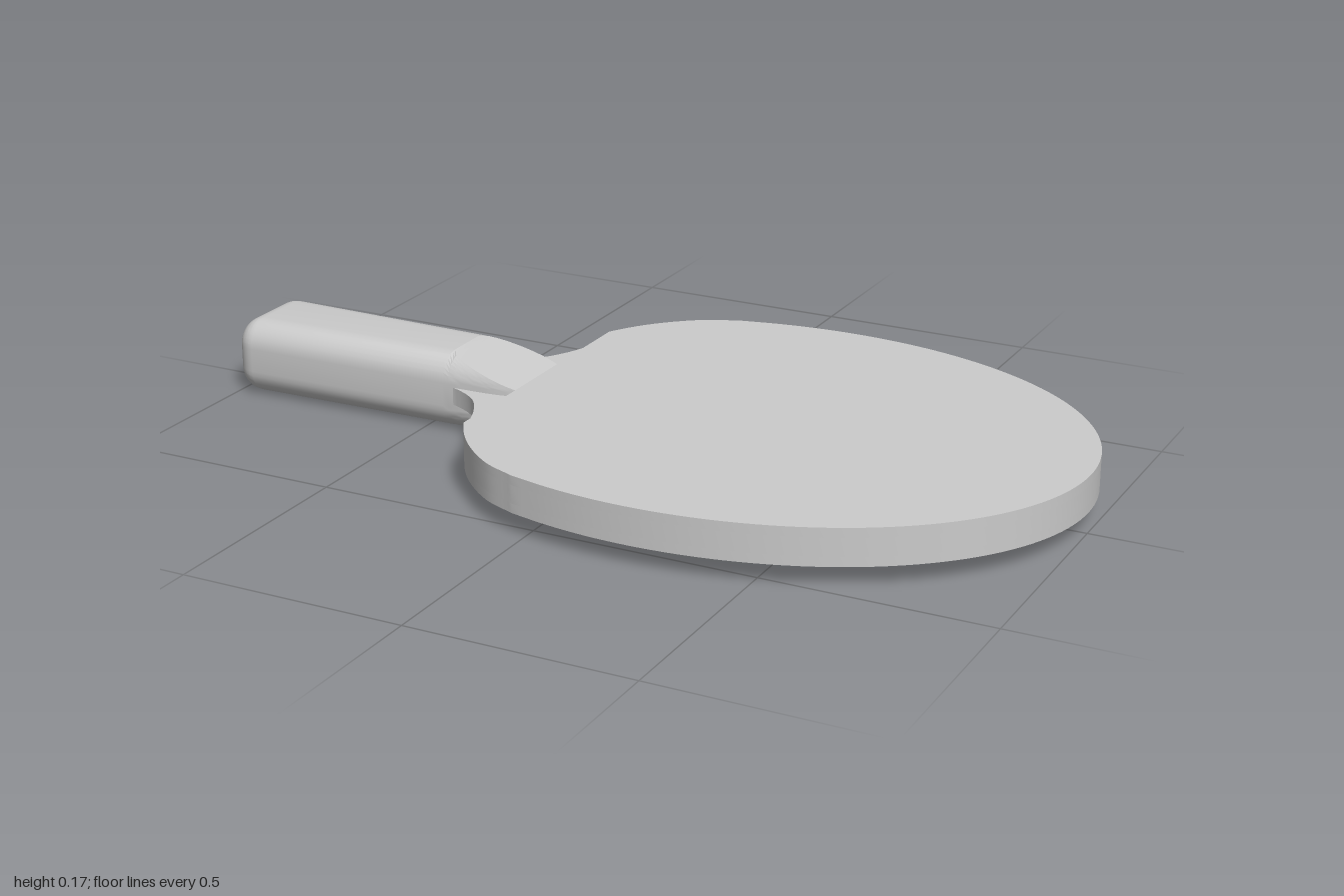
import * as THREE from 'three';
import { toCreasedNormals } from 'three/addons/utils/BufferGeometryUtils.js';

const MID = 0.0865;        // height of the bat's middle plane, and half the handle height
const STEP_X = -0.265;     // where the rubber starts
const CORE = 0.02;         // half thickness of the wooden core
const FACE = 0.041;        // half thickness including rubber
const material = new THREE.MeshStandardMaterial({ color: 0xcccccc });

// Half outline (x, half width) from the neck, round the shoulder, to the tip
function halfOutline() {
  const shoulder = new THREE.CatmullRomCurve3([
    [-0.46, 0.1], [-0.41, 0.113], [-0.35, 0.15], [-0.31, 0.21], [STEP_X, 0.325],
    [-0.2, 0.42], [-0.11, 0.498], [-0.03, 0.534],
  ].map(([x, z]) => new THREE.Vector3(x, z, 0)));
  const pts = shoulder.getPoints(56).map(p => new THREE.Vector2(p.x, p.y));
  const start = Math.acos(-0.27 / 0.76);
  for (let i = 1; i <= 48; i++) {
    const a = start * (1 - i / 48);
    pts.push(new THREE.Vector2(0.24 + 0.76 * Math.cos(a), 0.57 * Math.sin(a)));
  }
  return pts;
}

// Flat plate from a mirrored half outline, between two heights
function plate(name, half, y0, y1) {
  const mirrored = half.slice(0, -1).reverse().map(p => new THREE.Vector2(p.x, -p.y));
  const shape = new THREE.Shape([...half, ...mirrored]);
  const geo = new THREE.ExtrudeGeometry(shape, { depth: y1 - y0, bevelEnabled: false });
  geo.rotateX(-Math.PI / 2).translate(0, y0, 0);
  const mesh = new THREE.Mesh(toCreasedNormals(geo, 0.5), material);
  mesh.name = name;
  return mesh;
}

// Rounded rectangle section, cut flat at +-cut; returns [z, y] pairs
function section(w, h, r, cut) {
  const n = 8, top = Math.asin(Math.min(1, (cut - (h - r)) / r));
  const arc = [];
  for (let i = 0; i <= n; i++) {
    const a = top * i / n;
    arc.push([w - r + r * Math.cos(a), h - r + r * Math.sin(a)]);
  }
  const back = arc.slice().reverse();
  return [...arc, ...back.map(([z, y]) => [-z, y]),
    ...arc.map(([z, y]) => [-z, -y]), ...back.map(([z, y]) => [z, -y])];
}

function handle() {
  const R = 0.05, CORNER = 0.06, TAPER_X = -0.45;
  const rings = [];
  // Rounded butt
  for (let i = 0; i <= 8; i++) {
    const t = Math.PI / 2 * (1 - i / 8), d = R * (1 - Math.cos(t));
    rings.push([-1 + R * (1 - Math.sin(t)), section(0.12 - d, MID - d, CORNER - d, MID - d)]);
  }
  // Grip, then the wedge cut that slopes down to the blade
  rings.push([TAPER_X, section(0.109, MID, CORNER, MID)]);
  for (let i = 1; i <= 12; i++) {
    const t = i / 12, x = TAPER_X + (STEP_X - TAPER_X) * t;
    const w = 0.109 - 0.004 * t - 0.014 * t ** 5;
    rings.push([x, section(w, MID, CORNER, MID + (0.032 - MID) * t)]);
  }

  const pos = [], index = [], n = rings[0][1].length;
  for (const [x, ring] of rings) for (const [z, y] of ring) pos.push(x, MID + y, z);
  for (let i = 0; i < rings.length - 1; i++) {
    for (let j = 0; j < n; j++) {
      const a = i * n + j, b = i * n + (j + 1) % n;
      index.push(a, a + n, b, b, a + n, b + n);
    }
  }
  // End caps
  const first = pos.length / 3, last = (rings.length - 1) * n;
  pos.push(-1, MID, 0, STEP_X, MID, 0);
  for (let j = 0; j < n; j++) {
    const k = (j + 1) % n;
    index.push(first, j, k, first + 1, last + k, last + j);
  }
  const geo = new THREE.BufferGeometry();
  geo.setAttribute('position', new THREE.Float32BufferAttribute(pos, 3));
  geo.setIndex(index);
  const mesh = new THREE.Mesh(toCreasedNormals(geo, 0.25), material);
  mesh.name = 'handle';
  return mesh;
}

export function createModel() {
  const group = new THREE.Group();
  group.name = 'tableTennisBat';
  const outline = halfOutline();
  const edge = outline.filter(p => p.x > STEP_X + 0.002);
  const rubber = [new THREE.Vector2(STEP_X, 0.325), ...edge];
  // The closing edge of the rubber runs straight across the neck
  group.add(
    plate('bladeCore', outline, MID - CORE, MID + CORE),
    plate('topRubber', rubber, MID + CORE, MID + FACE),
    plate('bottomRubber', rubber, MID - FACE, MID - CORE),
    handle(),
  );
  return group;
}
